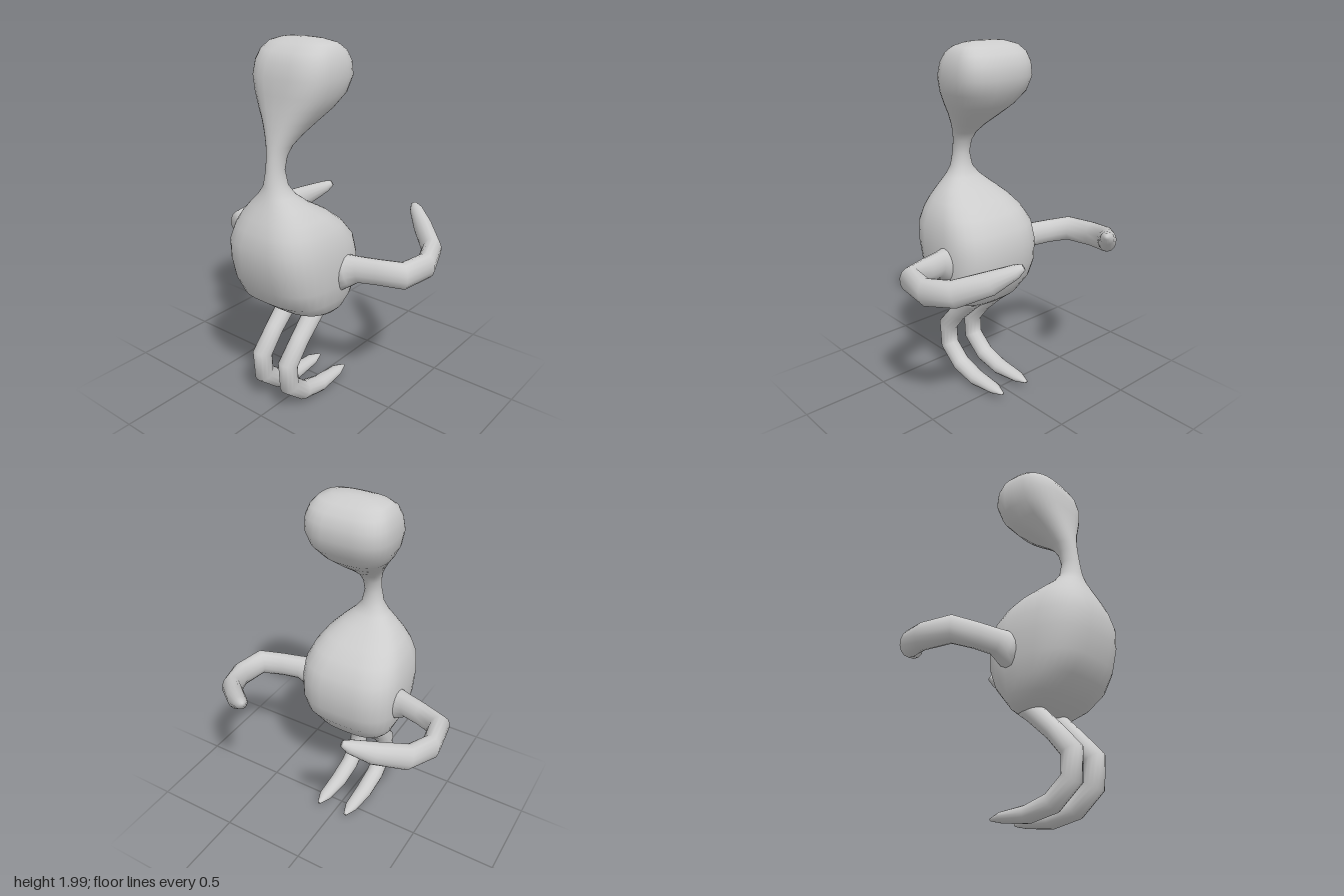
import * as THREE from 'three';

const grey = new THREE.MeshStandardMaterial({ color: 0xcccccc });
grey.name = 'plain grey';

// Skin a row of rings. Each ring: centre c, radius ra along `axis`, rb across it,
// n = squareness (2 is an ellipse), taper widens the back or front half.
function loft(rings, axis, sides, fixedTangent) {
  const pos = [], idx = [];
  const last = rings.length - 1;
  rings.forEach((r, i) => {
    const t = fixedTangent ? fixedTangent.clone() : rings[Math.min(i + 1, last)].c.clone()
      .sub(rings[Math.max(i - 1, 0)].c).normalize();
    const a = axis.clone().addScaledVector(t, -axis.dot(t)).normalize();
    const b = t.clone().cross(a);
    for (let j = 0; j < sides; j++) {
      const q = (j / sides) * Math.PI * 2, e = 2 / (r.n ?? 2);
      const u = Math.sign(Math.cos(q)) * Math.abs(Math.cos(q)) ** e;
      const v = Math.sign(Math.sin(q)) * Math.abs(Math.sin(q)) ** e;
      const p = r.c.clone().addScaledVector(a, u * r.ra * (1 + (r.taper ?? 0) * v))
        .addScaledVector(b, v * r.rb);
      pos.push(p.x, p.y, p.z);
    }
  });
  for (let i = 0; i < last; i++) {
    for (let j = 0; j < sides; j++) {
      const k = (j + 1) % sides;
      const p = i * sides + j, q = i * sides + k;
      idx.push(p, q, q + sides, p, q + sides, p + sides);
    }
  }
  // end caps
  const s = pos.length / 3, top = last * sides;
  pos.push(...rings[0].c.toArray(), ...rings[last].c.toArray());
  for (let j = 0; j < sides; j++) {
    const k = (j + 1) % sides;
    idx.push(s, k, j, s + 1, top + j, top + k);
  }
  const g = new THREE.BufferGeometry();
  g.setAttribute('position', new THREE.Float32BufferAttribute(pos, 3));
  g.setIndex(idx);
  g.computeVertexNormals();
  return g;
}

function part(name, geometry) {
  const m = new THREE.Mesh(geometry, grey);
  m.name = name;
  return m;
}

// y, half width, front z, back z, squareness
const TORSO = [
  [0.55, 0.15, 0.2, 0.06, 2.4], [0.575, 0.205, 0.26, 0.03, 2.6], [0.61, 0.24, 0.34, 0.01, 2.8],
  [0.68, 0.27, 0.43, -0.04, 3], [0.78, 0.292, 0.48, -0.072, 3], [0.9, 0.295, 0.51, -0.075, 3],
  [1.0, 0.285, 0.515, -0.05, 3], [1.08, 0.255, 0.495, 0.01, 2.8], [1.14, 0.215, 0.47, 0.085, 2.6],
  [1.2, 0.155, 0.44, 0.185, 2.4], [1.25, 0.1, 0.417, 0.245, 2.2], [1.3, 0.063, 0.402, 0.275, 2],
];
const NECK_HEAD = [
  [1.3, 0.063, 0.402, 0.275, 2], [1.38, 0.046, 0.39, 0.287, 2], [1.45, 0.05, 0.38, 0.268, 2],
  [1.5, 0.065, 0.372, 0.235, 2.1], [1.55, 0.093, 0.363, 0.175, 2.2], [1.61, 0.133, 0.352, 0.09, 2.4],
  [1.67, 0.178, 0.342, 0.015, 2.6], [1.74, 0.218, 0.333, -0.045, 2.8], [1.82, 0.236, 0.327, -0.07, 3],
  [1.89, 0.229, 0.308, -0.062, 3], [1.94, 0.21, 0.278, -0.035, 3], [1.975, 0.18, 0.23, 0.01, 2.8],
  [1.993, 0.12, 0.185, 0.06, 2.5], [2.0, 0.05, 0.14, 0.1, 2],
];
// x, y, z, vertical radius, horizontal radius
const ARM = [
  [0.24, 0.83, 0.14, 0.11, 0.085], [0.295, 0.845, 0.125, 0.09, 0.066], [0.35, 0.86, 0.11, 0.072, 0.053],
  [0.45, 0.864, 0.08, 0.07, 0.051], [0.575, 0.864, 0.035, 0.073, 0.057], [0.603, 0.866, -0.135, 0.073, 0.052],
  [0.547, 0.892, -0.285, 0.072, 0.053], [0.42, 0.95, -0.4, 0.062, 0.05], [0.327, 1.008, -0.475, 0.035, 0.037],
  [0.297, 1.03, -0.497, 0.017, 0.018],
];
// y, z, sideways radius, radius in the bending plane
const LEG = [
  [0.61, 0.1, 0.065, 0.07], [0.55, 0.152, 0.055, 0.054], [0.43, 0.275, 0.051, 0.05],
  [0.315, 0.375, 0.052, 0.058], [0.183, 0.367, 0.052, 0.056], [0.09, 0.255, 0.052, 0.054],
  [0.056, 0.11, 0.05, 0.045], [0.06, -0.05, 0.038, 0.028], [0.058, -0.12, 0.01, 0.008],
];

const torsoRings = (rows, taper) => rows.map(([y, w, f, b, n]) => ({
  c: new THREE.Vector3(0, y, (f + b) / 2), ra: w, rb: (f - b) / 2, n, taper,
}));

export function createModel() {
  const model = new THREE.Group();
  model.name = 'longNeckedCreature';
  const X = new THREE.Vector3(1, 0, 0), Y = new THREE.Vector3(0, 1, 0);

  // one continuous skin for body, neck and head
  const rings = [...torsoRings(TORSO, 0.05), ...torsoRings(NECK_HEAD.slice(1), 0.03)];
  model.add(part('bodyNeckAndHead', loft(rings, X, 32, Y)));

  // paired limbs
  for (const [side, s] of [['left', 1], ['right', -1]]) {
    const arm = ARM.map(([x, y, z, ra, rb]) => ({ c: new THREE.Vector3(s * x, y, z), ra, rb }));
    model.add(part(side + 'Arm', loft(arm, Y, 14)));
    const leg = LEG.map(([y, z, ra, rb]) => ({ c: new THREE.Vector3(s * 0.093, y, z), ra, rb }));
    model.add(part(side + 'Leg', loft(leg, X, 14)));
  }
  return model;
}
